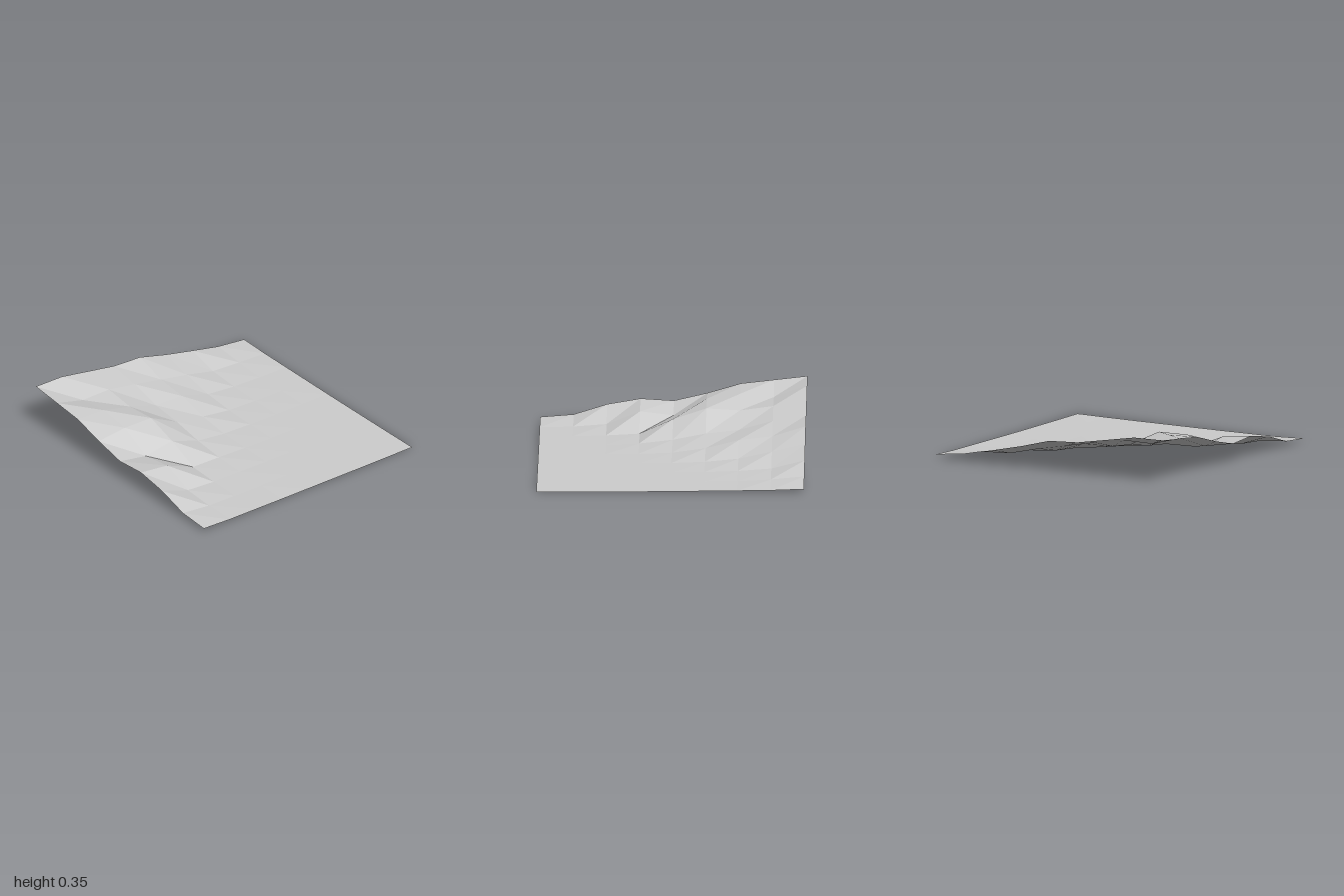
import * as THREE from 'three';

// Height cross-sections from back (z = -1) to front (z = 1), each running x = -1 to 1
const sections = [
  [0.03, 0.02, 0.016, 0.012, 0.008, 0.005, 0.003, 0.001, 0],
  [0.06, 0.035, 0.02, 0.015, 0.01, 0.006, 0.004, 0.002, 0],
  [0.115, 0.05, 0.03, 0.02, 0.014, 0.01, 0.006, 0.003, 0.001],
  [0.172, 0.11, 0.055, 0.03, 0.02, 0.014, 0.01, 0.006, 0.003],
  [0.24, 0.16, 0.13, 0.065, 0.03, 0.02, 0.014, 0.009, 0.005],
  [0.255, 0.21, 0.14, 0.11, 0.06, 0.03, 0.018, 0.012, 0.007],
  [0.3, 0.255, 0.22, 0.235, 0.15, 0.037, 0.022, 0.015, 0.01],
  [0.345, 0.255, 0.28, 0.24, 0.11, 0.14, 0.04, 0.02, 0.013],
  [0.35, 0.32, 0.29, 0.215, 0.155, 0.17, 0.125, 0.045, 0.024],
];

export function createModel() {
  const group = new THREE.Group();
  group.name = 'terrainTile';

  const stone = new THREE.MeshStandardMaterial({
    color: 0xcccccc, flatShading: true, side: THREE.DoubleSide,
  });
  stone.name = 'lightGrey';

  // Square sheet of 8 by 8 cells, lifted to the section heights
  const cells = sections.length - 1;
  const sheet = new THREE.PlaneGeometry(2, 2, cells, cells).rotateX(-Math.PI / 2);
  const pos = sheet.attributes.position;
  sections.forEach((row, j) => row.forEach((h, i) => pos.setY(j * (cells + 1) + i, h)));

  // Separate the faces so every facet is flat
  const faceted = sheet.toNonIndexed();
  faceted.computeVertexNormals();

  const hillside = new THREE.Mesh(faceted, stone);
  hillside.name = 'hillside';
  group.add(hillside);
  return group;
}
